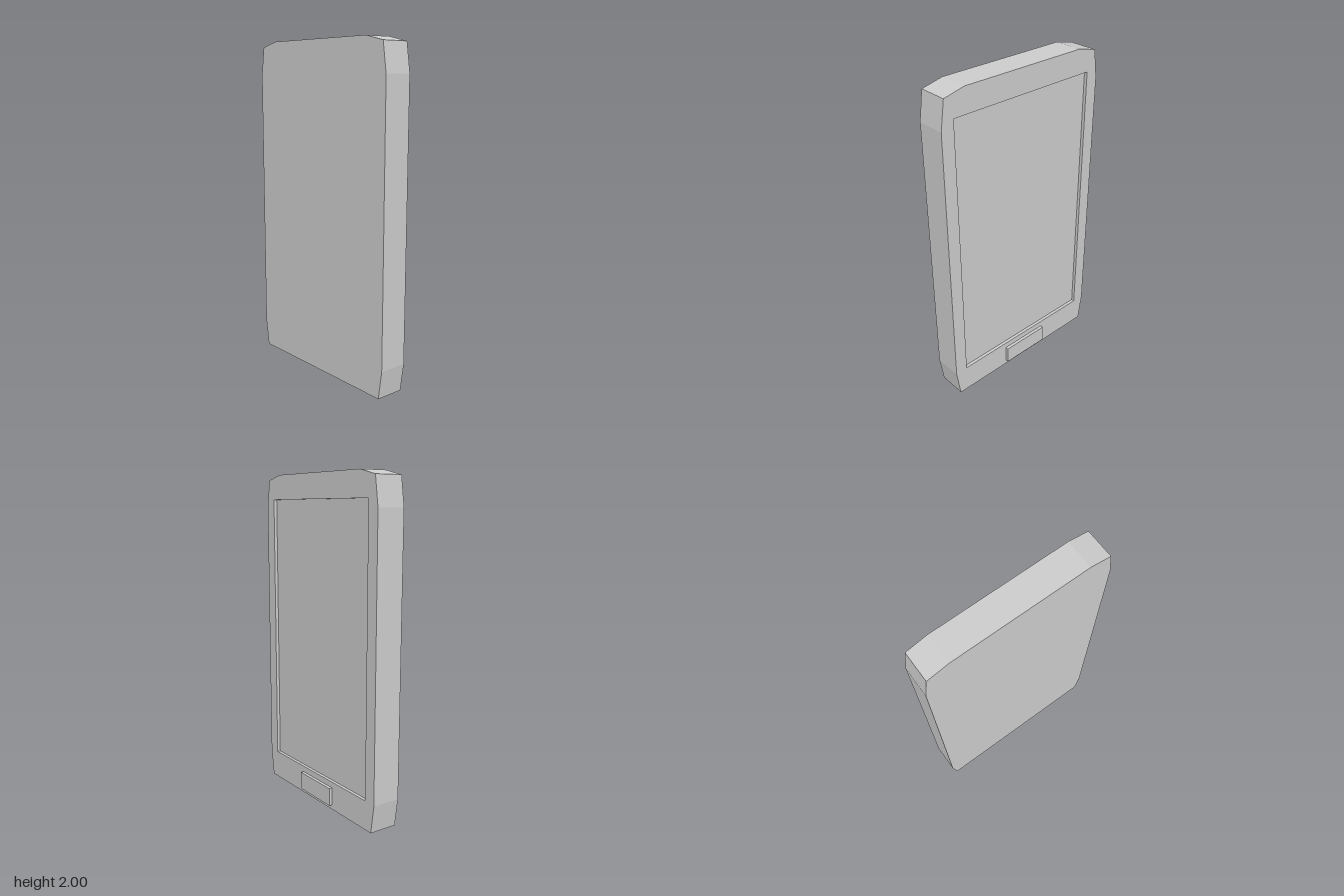
import * as THREE from 'three';

const BACK = -0.1, FACE = 0.075, RECESS = 0.02;

// Chamfered outline, mirrored about the centre line
function outline() {
  const half = [[0.54, 0], [0.565, 0.17], [0.565, 1.8], [0.54, 1.97], [0.41, 2]];
  const mirrored = half.map(([u, y]) => [-u, y]).reverse();
  return new THREE.Shape([...half, ...mirrored].map(([u, y]) => new THREE.Vector2(u, y)));
}

// Extrudes a side-on shape along x, from x0 to x1
function slab(shape, x0, x1) {
  const geometry = new THREE.ExtrudeGeometry(shape, { depth: x1 - x0, bevelEnabled: false });
  return geometry.rotateY(Math.PI / 2).translate(x0, 0, 0);
}

export function createModel() {
  const group = new THREE.Group();
  const material = new THREE.MeshStandardMaterial({ color: 0xcccccc, flatShading: true });
  const add = (name, geometry) => {
    const mesh = new THREE.Mesh(geometry, material);
    mesh.name = name;
    group.add(mesh);
  };

  // Solid body, whose +x face is the sunken screen
  add('bodyAndScreen', slab(outline(), BACK, FACE - RECESS));

  // Raised frame around the screen
  const frame = outline();
  frame.holes.push(new THREE.Path([
    [-0.485, 0.175], [-0.485, 1.85], [0.485, 1.85], [0.485, 0.175],
  ].map(([u, y]) => new THREE.Vector2(u, y))));
  add('screenFrame', slab(frame, FACE - RECESS, FACE));

  // Button below the screen, slightly sunk into the frame
  add('homeButton', new THREE.BoxGeometry(0.03, 0.11, 0.317).translate(0.08, 0.083, -0.001));

  return group;
}
